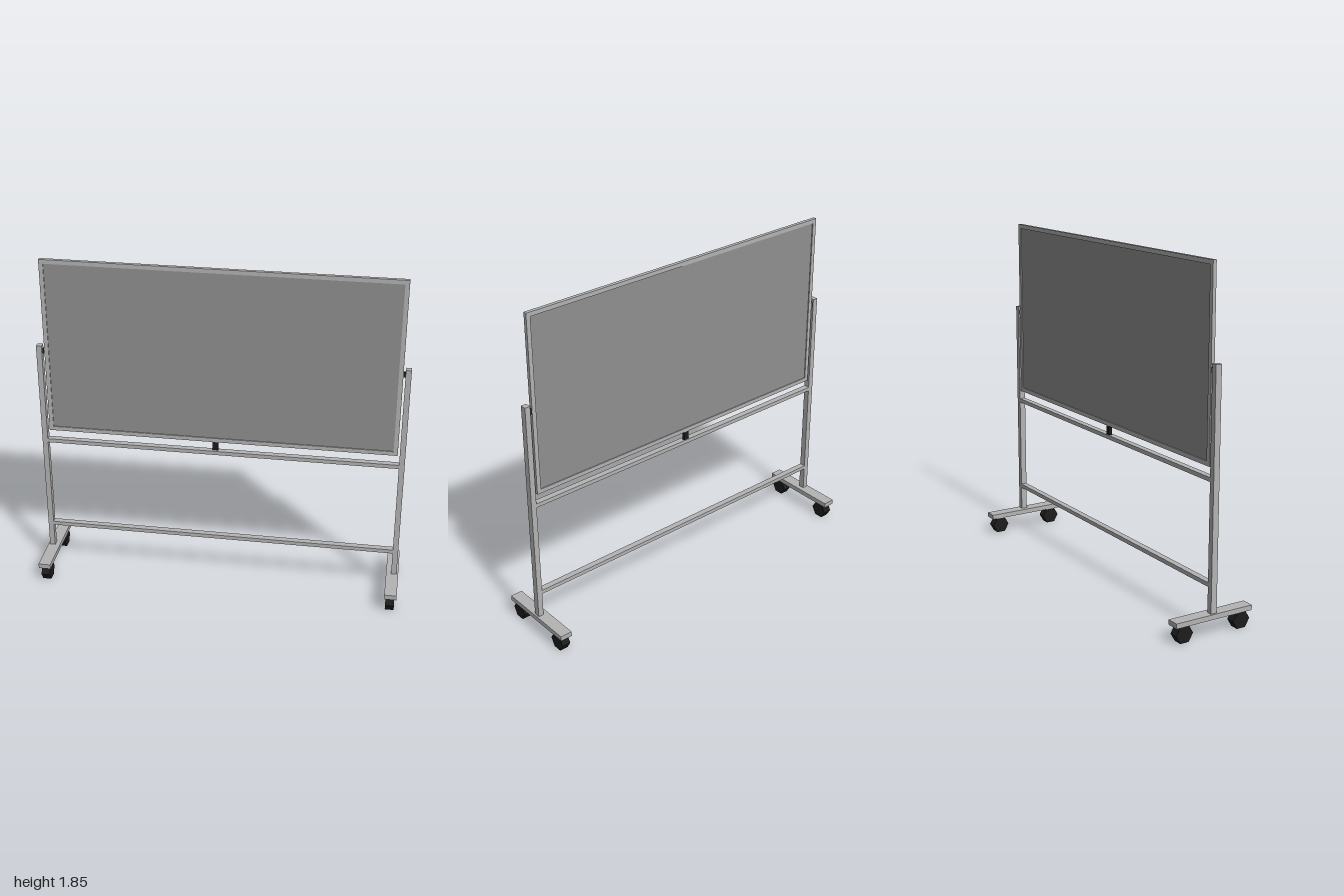
import * as THREE from 'three';

export function createModel() {
  const model = new THREE.Group();
  const material = (name, color) => {
    const m = new THREE.MeshStandardMaterial({ color });
    m.name = name;
    return m;
  };
  const metal = material('metal', 0xb4b4b4);
  const panelGrey = material('panel grey', 0x909090);
  const rubber = material('black rubber', 0x1c1c1c);

  const add = (name, geometry, mat, x, y, z) => {
    const mesh = new THREE.Mesh(geometry, mat);
    mesh.name = name;
    mesh.position.set(x, y, z);
    model.add(mesh);
    return mesh;
  };
  // Box given by its extent on each axis
  const box = (name, mat, [x0, x1], [y0, y1], [z0, z1]) =>
    add(name, new THREE.BoxGeometry(x1 - x0, y1 - y0, z1 - z0), mat,
      (x0 + x1) / 2, (y0 + y1) / 2, (z0 + z1) / 2);

  // Board: a rim with a rectangular opening and a panel recessed on both sides
  const rectangle = (path, w, h) => path.moveTo(-w, -h).lineTo(w, -h).lineTo(w, h).lineTo(-w, h).closePath();
  const rim = rectangle(new THREE.Shape(), 0.95, 0.496);
  rim.holes.push(rectangle(new THREE.Path(), 0.927, 0.473));
  const boardY = 1.354, boardZ = -0.005;
  const rimGeometry = new THREE.ExtrudeGeometry(rim, { depth: 0.02, bevelEnabled: false });
  rimGeometry.translate(0, 0, -0.01);
  add('boardFrame', rimGeometry, metal, 0, boardY, boardZ);
  add('boardPanel', new THREE.BoxGeometry(1.856, 0.948, 0.01), panelGrey, 0, boardY, boardZ);

  // Crossbars and the latch that holds the board upright
  const depth = [-0.017, 0.017];
  box('upperCrossbar', metal, [-0.962, 0.962], [0.786, 0.808], depth);
  box('lowerCrossbar', metal, [-0.962, 0.962], [0.251, 0.273], depth);
  box('latch', rubber, [-0.043, -0.013], [0.807, 0.86], [-0.013, 0.003]);

  // Six-sided wheel with its axle along x
  const wheel = new THREE.CylinderGeometry(0.05, 0.05, 0.048, 6).toNonIndexed();
  wheel.rotateZ(Math.PI / 2);
  wheel.computeVertexNormals();

  // Post, pivot, foot and two wheels on each side
  for (const [side, s] of [['left', 1], ['right', -1]]) {
    const span = (a, b) => (s > 0 ? [a, b] : [-b, -a]);
    box(side + 'Post', metal, span(0.961, 0.991), [0.117, 1.365], depth);
    box(side + 'Pivot', rubber, span(0.948, 0.963), [1.318, 1.345], [-0.012, 0.002]);
    box(side + 'Foot', metal, span(0.933, 1), [0.09, 0.117], [-0.228, 0.228]);
    add(side + 'FrontWheel', wheel, rubber, s * 0.965, 0.0455, 0.172);
    add(side + 'BackWheel', wheel, rubber, s * 0.965, 0.0455, -0.172);
  }
  return model;
}
